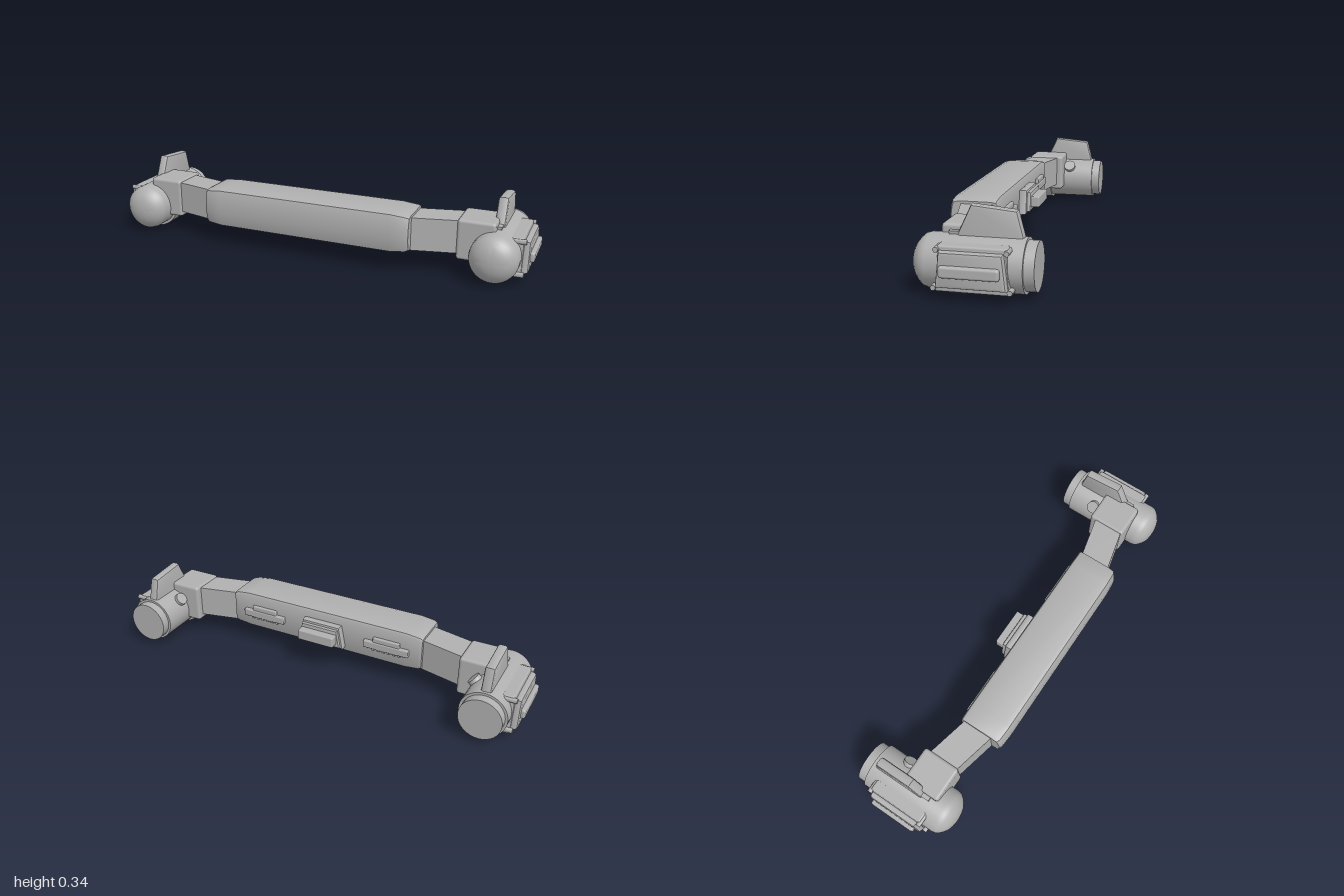
import * as THREE from 'three';
import { toCreasedNormals } from 'three/addons/utils/BufferGeometryUtils.js';
import { RoundedBoxGeometry } from 'three/addons/geometries/RoundedBoxGeometry.js';

const NX = 0.845, NY = 0.117; // nacelle axis

export function createModel() {
  const root = new THREE.Group();
  root.name = 'linkedPods';
  const grey = new THREE.MeshStandardMaterial({ color: 0xb0b0b0 });
  grey.name = 'hull grey';

  const add = (name, geo, parent = root) => {
    const m = new THREE.Mesh(geo, grey);
    m.name = name;
    parent.add(m);
  };

  // Mirror a geometry across x, keeping faces outward
  const mirrorX = (src) => {
    const g = src.clone().scale(-1, 1, 1);
    const n = g.index ? g.index.count : g.attributes.position.count;
    const idx = [];
    for (let i = 0; i < n; i += 3) {
      for (const k of [0, 2, 1]) idx.push(g.index ? g.index.getX(i + k) : i + k);
    }
    g.setIndex(idx);
    return g;
  };

  // Bevelled plate whose outer size matches the points, from z = 0 to depth
  const plate = (pts, depth, bevel) => {
    const shape = new THREE.Shape(pts.map(([x, y]) => new THREE.Vector2(x, y)));
    const g = new THREE.ExtrudeGeometry(shape, {
      depth: depth - 2 * bevel, bevelEnabled: true, bevelSize: bevel,
      bevelThickness: bevel, bevelOffset: -bevel, bevelSegments: 2,
    });
    return toCreasedNormals(g.translate(0, 0, bevel), 0.6);
  };
  // Same plate given as (z, y) points, extruded along +x from x0
  const sidePlate = (pts, x0, depth, bevel) =>
    plate(pts.map(([z, y]) => [-z, y]), depth, bevel).rotateY(Math.PI / 2).translate(x0, 0, 0);

  const rbox = (x0, x1, y0, y1, z0, z1, r) =>
    new RoundedBoxGeometry(x1 - x0, y1 - y0, z1 - z0, 2, r)
      .translate((x0 + x1) / 2, (y0 + y1) / 2, (z0 + z1) / 2);

  // Loft rings of [x, y, z] along +x; each ring runs back-top, front-top, front-bottom, back-bottom
  const loft = (rings, crease) => {
    const n = rings[0].length, pos = rings.flat(2), idx = [];
    for (let s = 0; s < rings.length - 1; s++) {
      for (let i = 0; i < n; i++) {
        const a = s * n + i, b = s * n + (i + 1) % n, c = a + n, d = b + n;
        idx.push(a, b, d, a, d, c);
      }
    }
    const last = (rings.length - 1) * n;
    for (let i = 1; i < n - 1; i++) {
      idx.push(0, i + 1, i, last, last + i, last + i + 1);
    }
    const g = new THREE.BufferGeometry();
    g.setAttribute('position', new THREE.Float32BufferAttribute(pos, 3));
    g.setIndex(idx);
    return toCreasedNormals(g, crease);
  };

  // Central bar with softened edges and slightly pinched ends
  const half = [[0.016, 0.076], [0.022, 0.086], [0.04, 0.091], [0.19, 0.091], [0.214, 0.083], [0.221, 0.06], [0.226, 0.02]];
  const section = [...half, ...half.map(([z, y]) => [z, -y]).reverse()];
  const barRing = ([x, ky, kz]) => section.map(([z, y]) => [x, 0.181 + y * ky, 0.016 + (z - 0.016) * kz]);
  add('centralBar', loft(
    [[-0.49, 0.85, 0.94], [-0.475, 0.92, 0.98], [-0.41, 1, 1], [0.41, 1, 1], [0.475, 0.92, 0.98], [0.49, 0.85, 0.94]]
      .map(barRing), 0.6));

  // Rear centre housing: tapered base, raised block
  const pod = new THREE.Group();
  pod.name = 'rearHousing';
  root.add(pod);
  const toBack = (g, z) => g.rotateY(Math.PI).translate(0, 0, z);
  add('housingBase', toBack(plate([[-0.115, 0.12], [0.115, 0.12], [0.095, 0.228], [-0.095, 0.228]], 0.04, 0.01), 0.02), pod);
  add('housingStep', toBack(plate([[-0.105, 0.132], [0.105, 0.132], [0.09, 0.218], [-0.09, 0.218]], 0.022, 0.008), -0.015), pod);
  add('housingBlock', rbox(-0.09, 0.09, 0.15, 0.2, -0.075, -0.02, 0.006), pod);

  // Everything below is built on +x, then mirrored
  const parts = [];
  const part = (name, geo) => parts.push([name, geo]);

  // Rear grip strip with raised middle and small teeth
  part('rearStrip', rbox(0.21, 0.43, 0.155, 0.19, -0.003, 0.03, 0.005));
  part('rearStripMiddle', rbox(0.255, 0.385, 0.15, 0.212, 0.002, 0.03, 0.005));
  for (let i = 0; i < 6; i++) {
    part('stripTooth', new THREE.BoxGeometry(0.013, 0.01, 0.012).translate(0.255 + i * 0.026, 0.147, 0.014));
  }

  // Slanted arm between bar and clamp
  const armRing = (x, z0, z1) => [[x, 0.247, z0], [x, 0.247, z1], [x, 0.1, z1], [x, 0.1, z0]];
  part('arm', loft([armRing(0.46, 0.038, 0.178), armRing(0.72, -0.022, 0.118)], 0.3));

  // Clamp block and strap wrapping the inner side and underside of the nacelle
  part('clampBlock', rbox(0.677, 0.84, 0.075, 0.256, -0.042, 0.136, 0.014));
  const strap = new THREE.Shape();
  strap.absarc(0, 0, 0.117, 1.45, 5.5, false);
  strap.absarc(0, 0, 0.098, 5.5, 1.45, true);
  part('clampStrap', toCreasedNormals(
    new THREE.ExtrudeGeometry(strap, { depth: 0.067, bevelEnabled: false, curveSegments: 32 })
      .translate(NX, NY, 0.0335), 0.5));

  // Nacelle: narrow tail, straight body, domed nose
  const profile = [[0, -0.235], [0.094, -0.235], [0.094, -0.195], [0.105, -0.195], [0.105, 0.17], [0.1, 0.189],
    [0.088, 0.203], [0.074, 0.215], [0.058, 0.225], [0.038, 0.231], [0.018, 0.2345], [0, 0.235]];
  part('nacelle', toCreasedNormals(
    new THREE.LatheGeometry(profile.map(([r, z]) => new THREE.Vector2(r, z)), 40), 0.6)
    .rotateX(Math.PI / 2).translate(NX, NY, 0));

  // Fin on top
  part('fin', sidePlate([[0.075, 0.2], [0.065, 0.23], [0.015, 0.336], [-0.157, 0.32], [-0.182, 0.222], [-0.186, 0.2]],
    0.82, 0.045, 0.012));

  // Round boss on the upper inner side, behind the clamp
  part('boss', new THREE.CylinderGeometry(0.03, 0.033, 0.12, 20)
    .translate(0, 0.06, 0).rotateZ(0.85).translate(NX, NY, -0.07));

  // Outer side panel
  part('panelBase', sidePlate([[0.125, 0.04], [-0.15, 0.04], [-0.138, 0.195], [0.113, 0.195]], 0.9, 0.055, 0.008));
  part('panelStep', sidePlate([[0.12, 0.052], [-0.145, 0.052], [-0.13, 0.187], [0.105, 0.187]], 0.94, 0.042, 0.014));
  part('panelBlock', rbox(0.96, 1, 0.096, 0.14, -0.122, 0.1, 0.01));
  part('upperRail', rbox(0.885, 0.953, 0.18, 0.204, -0.143, 0.118, 0.009));
  part('lowerRail', rbox(0.885, 0.953, 0.031, 0.058, -0.16, 0.13, 0.009));
  for (const [z, y] of [[0.117, 0.19], [-0.142, 0.19], [0.13, 0.048], [-0.153, 0.048]]) {
    part('bolt', new THREE.CylinderGeometry(0.011, 0.011, 0.075, 6).rotateZ(Math.PI / 2).translate(0.928, y, z));
  }

  for (const side of ['left', 'right']) {
    const group = new THREE.Group();
    group.name = side + 'Pod';
    root.add(group);
    for (const [name, geo] of parts) add(name, side === 'left' ? geo : mirrorX(geo), group);
  }
  return root;
}
